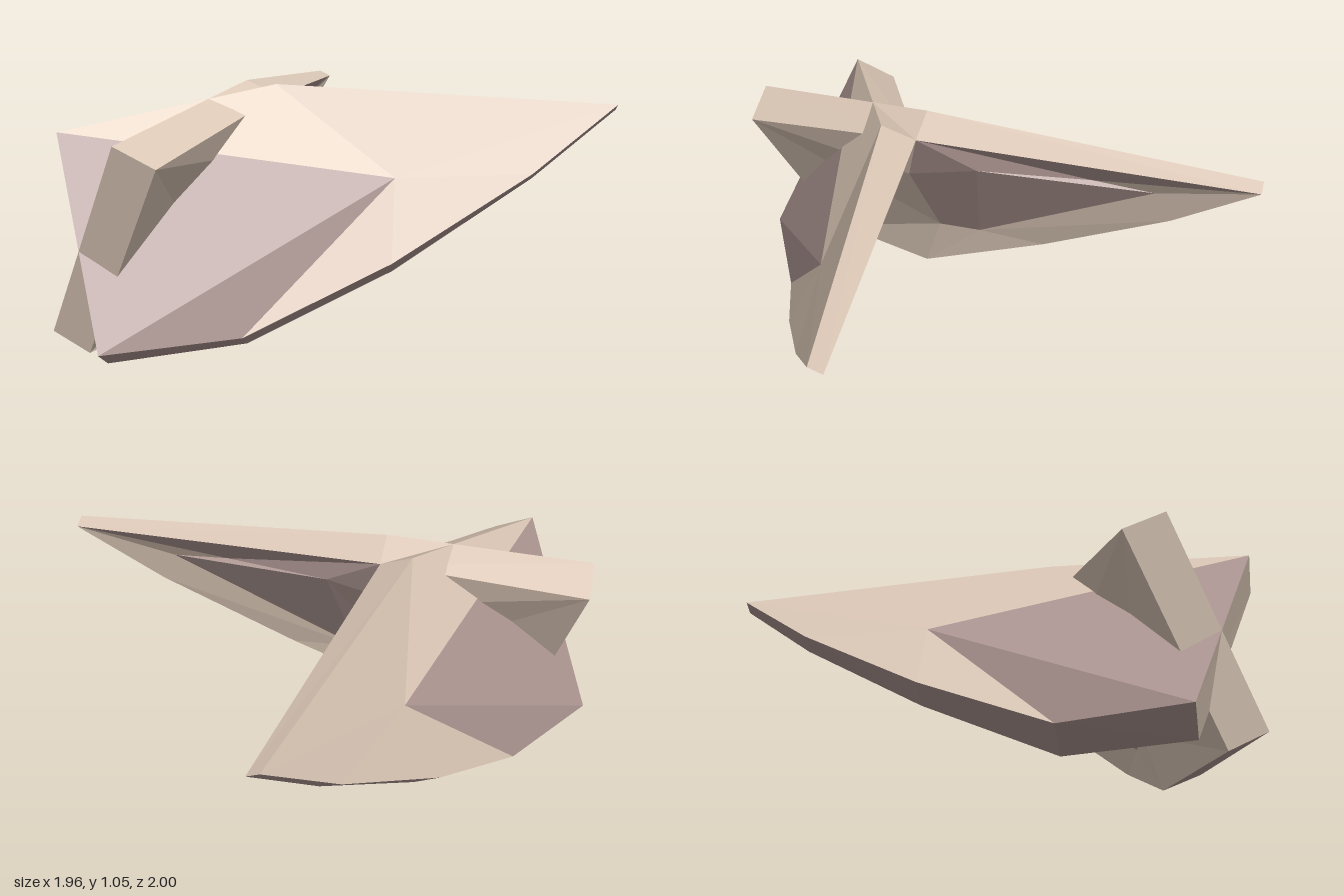
import * as THREE from 'three';

const tan = new THREE.MeshStandardMaterial({ color: 0xdac6b5 });
tan.name = 'pale tan';
const mauve = new THREE.MeshStandardMaterial({ color: 0xae9793 });
mauve.name = 'dusty mauve';

// Rim corners of one plate, clockwise from its upper front corner: [outer, inner]
const rim = [
  [[-0.92, 0.88, -0.24], [-0.81, 0.80, -0.37]], // 0 upper nose
  [[-0.10, 1.055, 0.11], [-0.01, 0.995, 0.00]], // 1 crest
  [[0.945, 0.985, 1.00], [0.98, 0.96, 0.96]],   // 2 tail tip
  [[0.60, 0.72, 0.88], [0.66, 0.69, 0.82]],     // 3
  [[0.07, 0.385, 0.66], [0.14, 0.33, 0.58]],    // 4
  [[-0.46, 0.11, 0.40], [-0.36, 0.04, 0.28]],   // 5 keel
  [[-0.98, 0.08, 0.20], [-0.88, 0.00, 0.08]],   // 6 lower nose
];
const [O, I] = [rim.map((r) => r[0]), rim.map((r) => r[1])];

// Interior points of the outer and inner faces
const peak = [0.17, 0.70, 0.55];
const a = [0.44, 0.855, 0.57], b = [0.62, 0.83, 0.75], c = [-0.10, 0.33, 0.40];
const d = [-0.25, 0.32, 0.28], e = [-0.13, 0.75, 0.04], f = [0.14, 0.86, 0.20];

// Flat-shaded mesh from polygons; side = -1 mirrors it across z
function facets(name, polygons, material, side) {
  const pos = [];
  for (const p of polygons) {
    for (let i = 1; i < p.length - 1; i++) {
      const tri = side > 0 ? [p[0], p[i], p[i + 1]] : [p[0], p[i + 1], p[i]];
      for (const [x, y, z] of tri) pos.push(x, y, z * side);
    }
  }
  const g = new THREE.BufferGeometry();
  g.setAttribute('position', new THREE.Float32BufferAttribute(pos, 3));
  g.computeVertexNormals();
  const mesh = new THREE.Mesh(g, material);
  mesh.name = name;
  return mesh;
}

const outerTri = (i) => [peak, O[(i + 1) % 7], O[i]];
const rimQuad = (i) => [O[i], O[(i + 1) % 7], I[(i + 1) % 7], I[i]];

function plate(name, side) {
  const group = new THREE.Group();
  group.name = name;
  group.add(
    facets('outerFace', [0, 1, 2, 3, 4].map(outerTri), tan, side),
    facets('outerPanel', [5, 6].map(outerTri), mauve, side),
    facets('upperRim', [6, 0, 1].map(rimQuad), tan, side),
    facets('lowerRim', [2, 3, 4, 5].map(rimQuad), mauve, side),
    facets('innerFace', [
      [I[2], I[3], b, a], [I[3], I[4], c, b], [I[4], I[5], c], [I[5], d, c],
      [I[5], I[6], d], [I[6], I[0], d], [I[0], e, d], [I[0], I[1], e],
    ], tan, side),
    facets('innerPanel', [
      [I[1], I[2], a, f], [f, a, b], [f, b, c], [f, c, d], [f, d, e], [f, e, I[1]],
    ], mauve, side),
  );
  return group;
}

export function createModel() {
  const model = new THREE.Group();
  model.name = 'crossedPlates';
  // Two mirrored plates that cross near the nose
  model.add(plate('frontPlate', 1), plate('backPlate', -1));
  return model;
}
